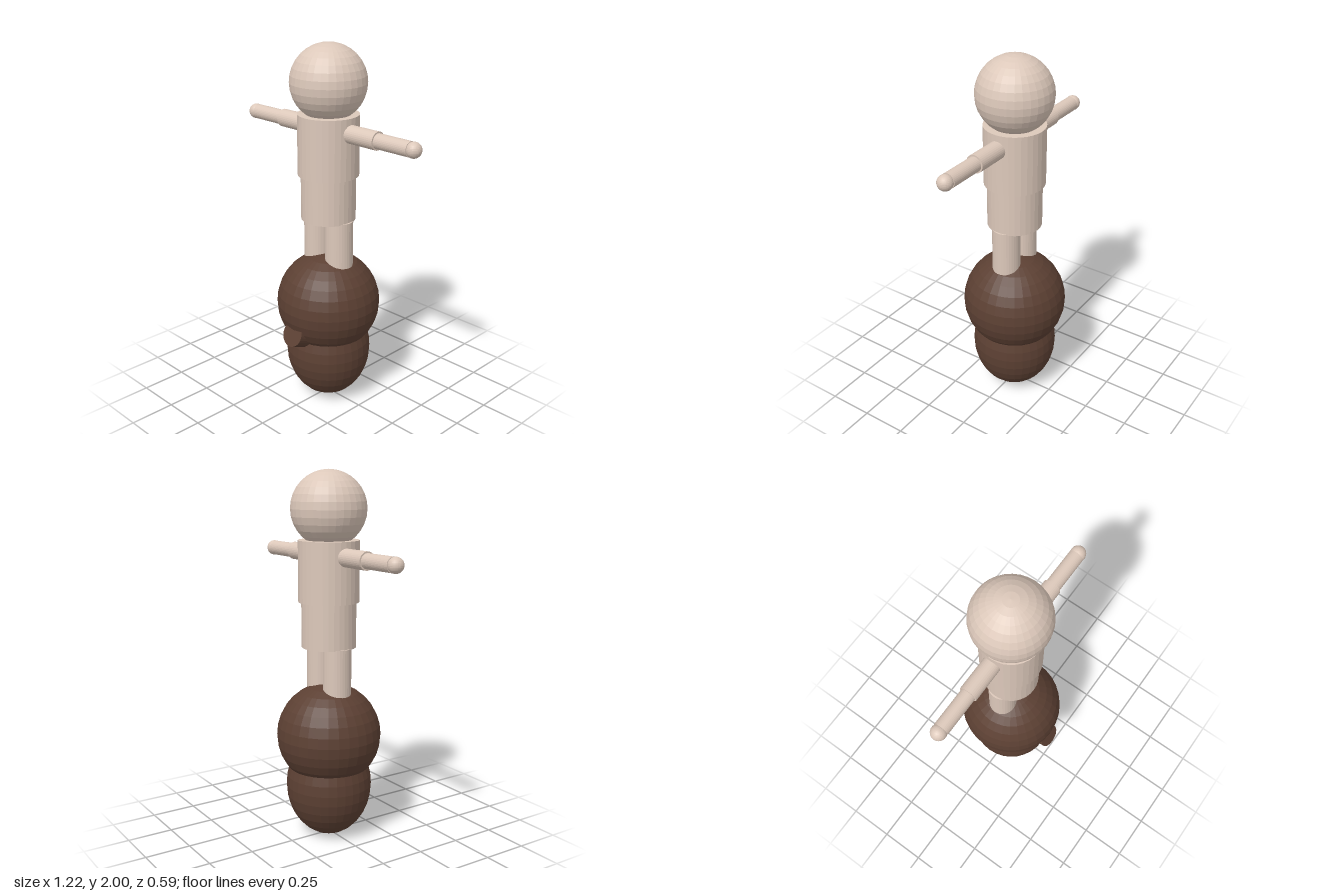
import * as THREE from 'three';

const skin = new THREE.MeshStandardMaterial({ color: 0xdcc8ba, flatShading: true });
const brown = new THREE.MeshStandardMaterial({ color: 0x5c4033, flatShading: true });

export function createModel() {
  const model = new THREE.Group();
  model.name = 'figure';
  const body = new THREE.Group();
  body.name = 'body';
  body.position.z = -0.007;
  model.add(body);

  function add(name, geometry, material, x, y, z = 0) {
    const mesh = new THREE.Mesh(geometry, material);
    mesh.name = name;
    mesh.position.set(x, y, z);
    body.add(mesh);
    return mesh;
  }
  const ball = (r) => new THREE.SphereGeometry(r, 32, 16);
  const rod = (r, length) => new THREE.CylinderGeometry(r, r, length, 32);

  // Base: round upper ball resting in an egg-shaped lower one
  add('lowerBase', ball(0.235), brown, 0, 0.29).scale.y = 0.29 / 0.235;
  add('upperBase', ball(0.285), brown, 0, 0.575);

  // Stub tilted forward and up out of the base
  const tilt = 0.394, stubLength = 0.2;
  const stub = add('stub', rod(0.068, stubLength), brown, 0,
    0.458 - Math.sin(tilt) * stubLength / 2,
    0.277 - Math.cos(tilt) * stubLength / 2);
  stub.rotation.x = Math.PI / 2 - tilt;

  // Trunk and head
  add('hips', rod(0.147, 0.245), skin, 0, 1.188);
  add('chest', rod(0.163, 0.326), skin, 0, 1.473);
  add('head', ball(0.202), skin, 0, 1.798);

  // Mirrored legs and arms
  for (const [side, s] of [['left', 1], ['right', -1]]) {
    add(side + 'Leg', rod(0.076, 0.5), skin, s * 0.08, 0.82);
    add(side + 'UpperArm', rod(0.048, 0.205), skin, s * 0.2425, 1.555).rotation.z = Math.PI / 2;
    add(side + 'Forearm', rod(0.04, 0.21), skin, s * 0.448, 1.555).rotation.z = Math.PI / 2;
    add(side + 'Hand', ball(0.041), skin, s * 0.571, 1.555);
  }
  return model;
}
